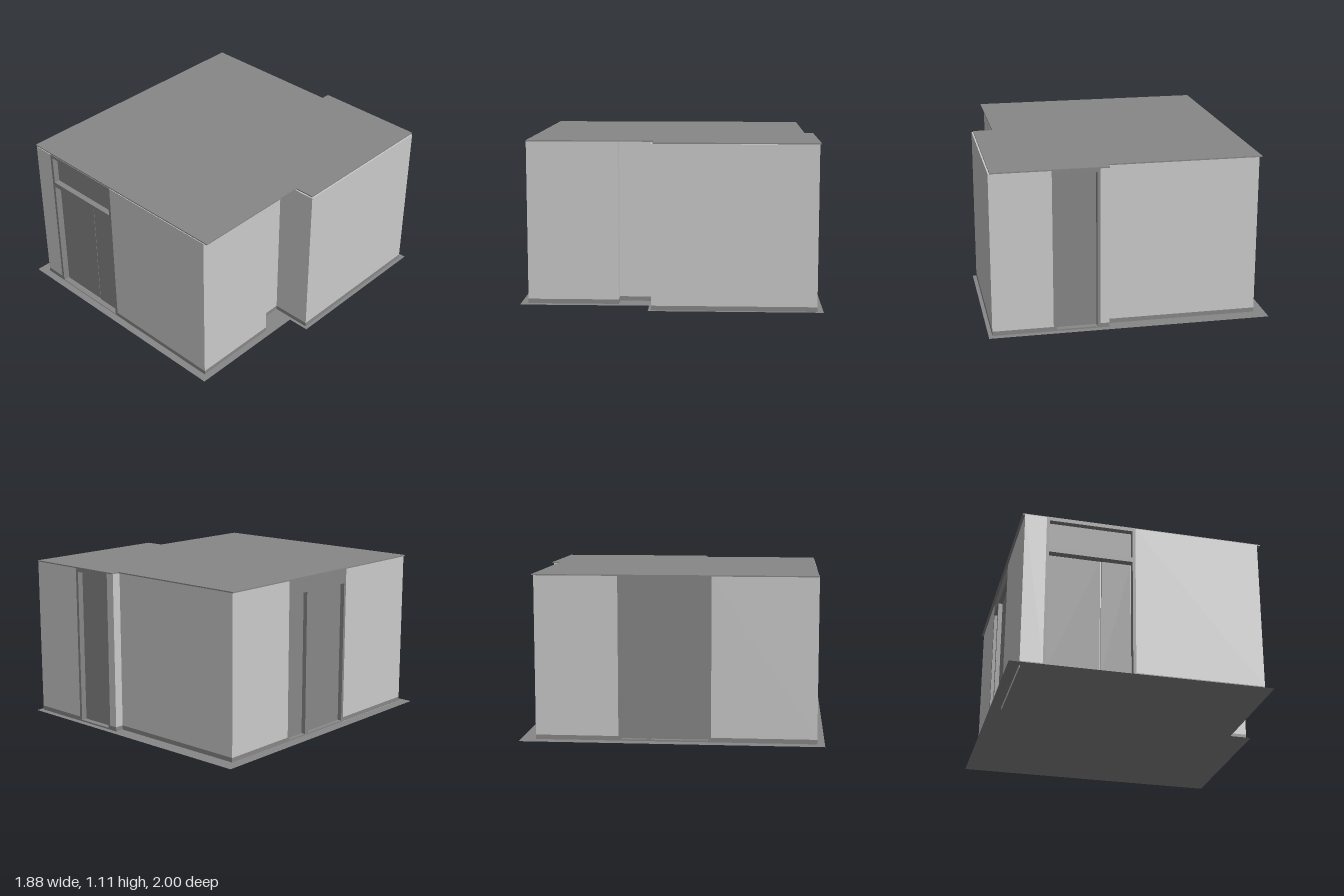
import * as THREE from 'three';

const FLOOR = 0.015, SKIRT = 0.045, TOP = 1.102, RECESS = 0.05;

// Horizontal outline given as [x, z] points
function plan(points) {
  return new THREE.Shape(points.map(([x, z]) => new THREE.Vector2(x, -z)));
}

// Vertical prism over a plan outline
function prism(name, points, y0, y1, material) {
  const g = new THREE.ExtrudeGeometry(plan(points), { depth: y1 - y0, bevelEnabled: false });
  g.rotateX(-Math.PI / 2);
  g.translate(0, y0, 0);
  const mesh = new THREE.Mesh(g, material);
  mesh.name = name;
  return mesh;
}

function rect(Type, [x0, y0, x1, y1]) {
  const s = new Type();
  s.moveTo(x0, y0);
  s.lineTo(x1, y0);
  s.lineTo(x1, y1);
  s.lineTo(x0, y1);
  s.closePath();
  return s;
}

// Full-height frame with recessed leaves; local x runs from 0 to width
function opening(name, width, holes, leaves, material) {
  const group = new THREE.Group();
  group.name = name;
  const shape = rect(THREE.Shape, [0, FLOOR, width, TOP]);
  shape.holes = holes.map((h) => rect(THREE.Path, h));
  const frameGeo = new THREE.ExtrudeGeometry(shape, { depth: RECESS, bevelEnabled: false });
  frameGeo.translate(0, 0, -RECESS);
  const frame = new THREE.Mesh(frameGeo, material);
  frame.name = 'frame';
  group.add(frame);
  for (const [x0, y0, x1, y1, front] of leaves) {
    const depth = RECESS + front;
    const leaf = new THREE.Mesh(new THREE.BoxGeometry(x1 - x0, y1 - y0, depth), material);
    leaf.name = 'leaf';
    leaf.position.set((x0 + x1) / 2, (y0 + y1) / 2, front - depth / 2);
    group.add(leaf);
  }
  return group;
}

export function createModel() {
  const model = new THREE.Group();
  model.name = 'smallBuilding';
  const pale = new THREE.MeshStandardMaterial({ color: 0xcbcbcb });
  pale.name = 'paleWall';
  const grey = new THREE.MeshStandardMaterial({ color: 0x878787, side: THREE.DoubleSide });
  grey.name = 'midGrey';

  // Wall outline with a side niche and notches for the three doors
  const outline = [
    [-0.865, 0.95],
    [-0.72, 0.95], [-0.72, 0.95 - RECESS], [-0.12, 0.95 - RECESS], [-0.12, 0.95],
    [0.74, 0.95], [0.74, 0.345], [0.64, 0.345], [0.64, 0.12], [0.91, 0.12], [0.91, -0.96],
    [0.51, -0.96], [0.51, -0.96 + RECESS], [0.2, -0.96 + RECESS], [0.2, -0.96],
    [0.14, -0.96], [0.14, -0.9], [-0.865, -0.9],
    [-0.865, -0.35], [-0.865 + RECESS, -0.35], [-0.865 + RECESS, 0.26], [-0.865, 0.26],
  ];
  model.add(prism('walls', outline, SKIRT, TOP, pale));
  model.add(prism('skirting', outline, FLOOR, SKIRT, grey));

  // Thin flat roof
  model.add(prism('roof', [
    [-0.88, 0.945], [0.765, 0.945], [0.765, 0.11], [0.9, 0.11],
    [0.9, -0.97], [0.14, -0.97], [0.14, -0.91], [-0.88, -0.91],
  ], TOP, 1.11, grey));

  // Floor sheet reaching beyond the walls
  const floorGeo = new THREE.ShapeGeometry(plan([
    [-0.94, 1], [0.785, 1], [0.785, 0.14], [0.935, 0.14], [0.935, -1], [-0.94, -1],
  ]));
  floorGeo.rotateX(-Math.PI / 2);
  const floor = new THREE.Mesh(floorGeo, grey);
  floor.name = 'floor';
  floor.position.y = FLOOR;
  model.add(floor);

  // Narrow footing under the side wall
  const footing = new THREE.Mesh(new THREE.BoxGeometry(0.004, FLOOR, 0.69), pale);
  footing.name = 'footing';
  footing.position.set(-0.865, FLOOR / 2, 0.605);
  model.add(footing);

  // Front double door with a panel above
  const frontDoor = opening('frontDoor', 0.6,
    [[0.02, 0.02, 0.58, 0.845], [0.02, 0.88, 0.58, 1.08]],
    [[0.025, 0.02, 0.37, 0.84, -0.042], [0.378, 0.02, 0.575, 0.84, -0.038],
      [0.02, 0.88, 0.58, 1.08, -0.04]], grey);
  frontDoor.position.set(-0.72, 0, 0.95);
  model.add(frontDoor);

  // Side door with a narrow and a wide leaf
  const panes = [[0.02, 0.025, 0.185, 1.0], [0.215, 0.025, 0.59, 1.0]];
  const sideDoor = opening('sideDoor', 0.61, panes, panes.map((p) => [...p, -0.03]), grey);
  sideDoor.position.set(-0.865, 0, -0.35);
  sideDoor.rotation.y = -Math.PI / 2;
  model.add(sideDoor);

  // Single back door
  const pane = [0.02, 0.025, 0.29, 1.075];
  const backDoor = opening('backDoor', 0.31, [pane], [[...pane, -0.04]], grey);
  backDoor.position.set(0.51, 0, -0.96);
  backDoor.rotation.y = Math.PI;
  model.add(backDoor);

  return model;
}
